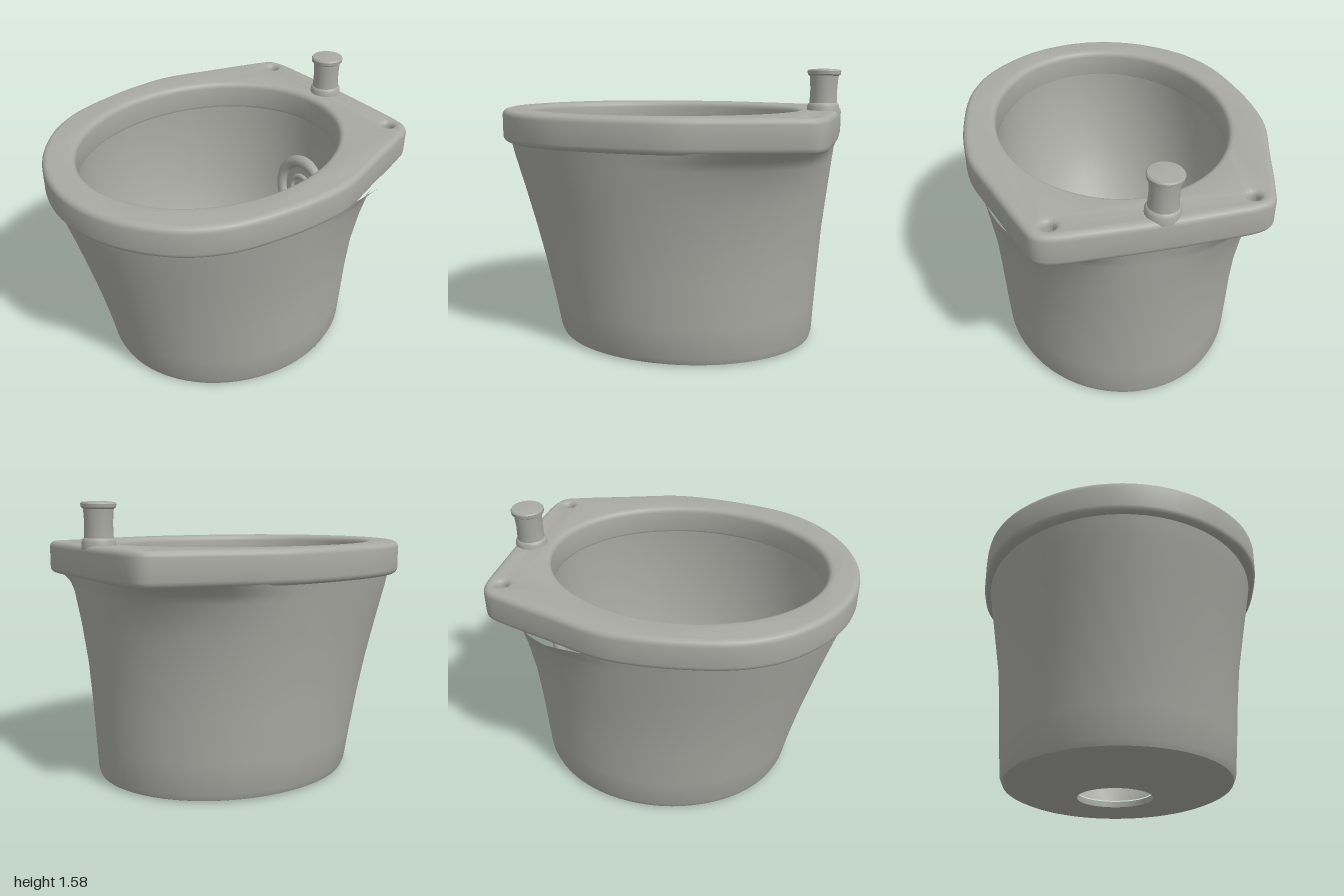
import * as THREE from 'three';
import { toCreasedNormals } from 'three/addons/utils/BufferGeometryUtils.js';

const SEG = 72;

// Lofts closed rings [y, halfWidth, zBack, zFront, backSquareness]
function loft(rings, crease = 0.7) {
  const pos = [], index = [];
  for (const [y, a, zBack, zFront, n = 2] of rings) {
    const zc = (zBack + zFront) / 2, b = (zFront - zBack) / 2;
    for (let i = 0; i < SEG; i++) {
      const t = (i / SEG) * Math.PI * 2, s = Math.sin(t), c = Math.cos(t);
      const e = c < 0 ? 2 / n : 1;
      pos.push(a * Math.sign(s) * Math.abs(s) ** e, y, zc + b * Math.sign(c) * Math.abs(c) ** e);
    }
  }
  for (let j = 0; j < rings.length - 1; j++) {
    for (let i = 0; i < SEG; i++) {
      const p = j * SEG + i, q = j * SEG + ((i + 1) % SEG);
      index.push(p, q, q + SEG, p, q + SEG, p + SEG);
    }
  }
  const g = new THREE.BufferGeometry();
  g.setAttribute('position', new THREE.Float32BufferAttribute(pos, 3));
  g.setIndex(index);
  return toCreasedNormals(g, crease);
}

// Rim slab: egg-shaped front, straight shelf at the back, oval opening
function rimGeometry() {
  const half = [
    [0.3, -0.988], [0.54, -0.972], [0.605, -0.935], [0.642, -0.85], [0.74, -0.54], [0.828, -0.25], [0.84, -0.08],
    [0.825, 0.14], [0.762, 0.45], [0.66, 0.65], [0.535, 0.785], [0.38, 0.895], [0.2, 0.968],
  ];
  const outline = [[0, 0.995], ...[...half].reverse(), [0, -0.995], ...half.map(([x, z]) => [-x, z])];
  const curve = new THREE.CatmullRomCurve3(outline.map(([x, z]) => new THREE.Vector3(x, -z, 0)), true);
  const pts = curve.getPoints(112).slice(0, -1).map((p) => new THREE.Vector2(p.x, p.y));
  const shape = new THREE.Shape(pts);
  shape.holes.push(new THREE.Path().absellipse(0, -0.03, 0.65, 0.79, 0, Math.PI * 2, true));
  for (const x of [-0.51, 0.51]) {
    shape.holes.push(new THREE.Path().absarc(x, 0.88, 0.03, 0, Math.PI * 2, true));
  }
  const bevel = 0.033;
  const g = new THREE.ExtrudeGeometry(shape, {
    depth: 0.185 - 2 * bevel, bevelEnabled: true, bevelSize: bevel, bevelThickness: bevel,
    bevelOffset: -bevel, bevelSegments: 4, curveSegments: 36,
  });
  g.rotateX(-Math.PI / 2).translate(0, 1.168 + bevel, 0);
  return toCreasedNormals(g, 0.6);
}

export function createModel() {
  const model = new THREE.Group();
  model.name = 'toiletBowl';
  const ceramic = new THREE.MeshStandardMaterial({ color: 0xa9aaa3 });
  ceramic.name = 'warmGrey';

  const add = (name, geometry, x = 0, y = 0, z = 0, parent = model) => {
    const mesh = new THREE.Mesh(geometry, ceramic);
    mesh.name = name;
    mesh.position.set(x, y, z);
    parent.add(mesh);
    return mesh;
  };

  // Outer pedestal with drain hole, flaring under the shelf corners
  add('pedestal', loft([
    [0.04, 0.23, -0.54, -0.09],
    [0.005, 0.23, -0.54, -0.09],
    [0.005, 0.64, -0.85, 0.625],
    [0.015, 0.665, -0.87, 0.65],
    [0.05, 0.68, -0.88, 0.665],
    [0.22, 0.692, -0.89, 0.7],
    [0.45, 0.705, -0.905, 0.755],
    [0.67, 0.722, -0.92, 0.815, 2.05],
    [0.9, 0.757, -0.945, 0.88, 2.15],
    [1.08, 0.785, -0.965, 0.935, 2.35],
    [1.13, 0.793, -0.97, 0.948, 2.6],
    [1.18, 0.802, -0.98, 0.96, 3.6],
  ]));

  // Inner bowl running down to the drain
  add('innerBowl', loft([
    [1.22, 0.652, -0.762, 0.822],
    [1.1, 0.655, -0.765, 0.815],
    [0.9, 0.64, -0.76, 0.775],
    [0.7, 0.607, -0.745, 0.71],
    [0.5, 0.55, -0.72, 0.605],
    [0.33, 0.465, -0.68, 0.45],
    [0.2, 0.37, -0.625, 0.24],
    [0.1, 0.275, -0.565, 0.02],
    [0.045, 0.225, -0.535, -0.095],
  ], 0.9));

  add('rim', rimGeometry());

  // Floors of the two seat fixing holes
  for (const x of [-0.51, 0.51]) {
    add('fixingHoleFloor', new THREE.CylinderGeometry(0.066, 0.066, 0.11, 20), x, 1.23, -0.88);
  }

  // Water inlet pipe with base flange and domed cap
  const inletProfile = [
    [0, -0.02], [0.092, -0.02], [0.09, 0.025], [0.084, 0.038], [0.078, 0.043], [0.075, 0.12],
    [0.08, 0.195], [0.092, 0.203], [0.094, 0.222], [0.088, 0.23], [0.04, 0.234], [0, 0.235],
  ].map(([r, y]) => new THREE.Vector2(r, y));
  const inlet = add('inletPipe', toCreasedNormals(new THREE.LatheGeometry(inletProfile, 32), 0.6), -0.036, 1.35, -0.905);
  inlet.rotation.z = 0.03;

  // Flush outlet on the inside back wall
  const outlet = new THREE.Group();
  outlet.name = 'flushOutlet';
  outlet.position.set(0, 0.71, -0.73);
  outlet.rotation.x = -0.08;
  model.add(outlet);
  add('outletRing', new THREE.TorusGeometry(0.185, 0.04, 12, 36), 0, 0, 0, outlet);
  add('outletInnerRing', new THREE.TorusGeometry(0.085, 0.018, 8, 28), 0, 0, 0.01, outlet);
  add('outletPlate', new THREE.CylinderGeometry(0.185, 0.185, 0.02, 36).rotateX(Math.PI / 2), 0, 0, -0.005, outlet);

  return model;
}
